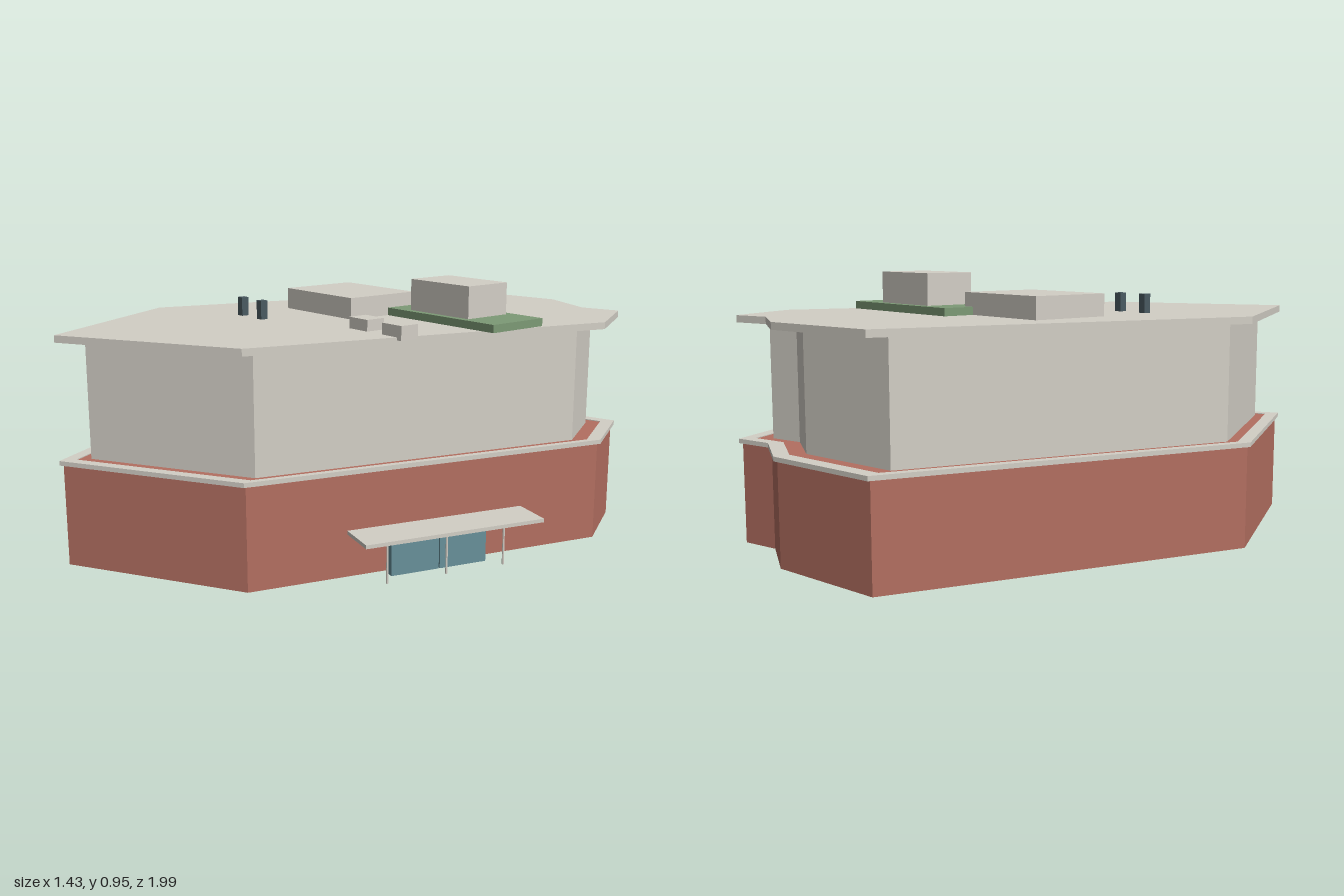
import * as THREE from 'three';

const paint = (color) => new THREE.MeshStandardMaterial({ color, flatShading: true });
const STONE = paint(0xd3cfc6), BRICK = paint(0xb36f61), GREEN = paint(0x7d9a76);
const GLASS = paint(0x68909a), DARK = paint(0x4a5a61);

// Footprint corners as [x, z]
const FOOTPRINT = [
  [-0.35, 0.985], [0.258, 0.645], [0.626, -0.66], [0.472, -0.935],
  [0.33, -0.895], [0.1, -0.99], [-0.348, -0.913], [-0.708, 0.383],
];

const outline = (scale, Type = THREE.Shape) =>
  new Type(FOOTPRINT.map(([x, z]) => new THREE.Vector2(x * scale, -z * scale)));

// Upright prism of the footprint, optionally hollowed to a ring
function storey(name, scale, y0, y1, material, holeScale) {
  const shape = outline(scale);
  if (holeScale) shape.holes.push(outline(holeScale, THREE.Path));
  const geo = new THREE.ExtrudeGeometry(shape, { depth: y1 - y0, bevelEnabled: false });
  geo.rotateX(-Math.PI / 2);
  geo.translate(0, y0, 0);
  const mesh = new THREE.Mesh(geo, material);
  mesh.name = name;
  return mesh;
}

// Box given by its extents on each axis
function block(name, [x0, x1], [y0, y1], [z0, z1], material) {
  const mesh = new THREE.Mesh(new THREE.BoxGeometry(x1 - x0, y1 - y0, z1 - z0), material);
  mesh.position.set((x0 + x1) / 2, (y0 + y1) / 2, (z0 + z1) / 2);
  mesh.name = name;
  return mesh;
}

// Canopy, posts and glazed doors; local x runs along the wall, local z points outward
function createEntrance() {
  const entrance = new THREE.Group();
  entrance.name = 'entrance';
  entrance.add(block('canopy', [-0.335, 0.335], [0.163, 0.176], [-0.077, 0.077], STONE));
  for (const x of [-0.223, 0, 0.223]) {
    const post = new THREE.Mesh(new THREE.CylinderGeometry(0.004, 0.004, 0.163, 8), STONE);
    post.position.set(x, 0.0815, 0);
    post.name = 'canopyPost';
    entrance.add(post);
  }
  for (const side of [-1, 1]) {
    const edges = [side * 0.002, side * 0.183].sort((a, b) => a - b);
    entrance.add(block('glassDoor', edges, [0, 0.148], [-0.077, -0.052], GLASS));
  }
  entrance.position.set(0.545, 0, 0.0225);
  entrance.rotation.y = Math.atan2(0.962, 0.273);
  return entrance;
}

// Penthouses, green roof, small units and vents
function createRoofEquipment() {
  const roof = new THREE.Group();
  roof.name = 'roofEquipment';
  roof.add(
    block('greenRoof', [-0.04, 0.545], [0.81, 0.838], [-0.42, -0.175], GREEN),
    block('tallPenthouse', [0.105, 0.4], [0.81, 0.952], [-0.39, -0.2], STONE),
    block('widePenthouse', [-0.382, 0.005], [0.81, 0.888], [-0.3, 0.002], STONE),
  );
  for (const x of [0.155, 0.328])
    roof.add(block('roofUnit', [x, x + 0.096], [0.8, 0.85], [0.058, 0.132], STONE));
  for (const x of [-0.35, -0.227])
    roof.add(block('vent', [x, x + 0.028], [0.81, 0.878], [0.228, 0.256], DARK));
  return roof;
}

export function createModel() {
  const model = new THREE.Group();
  model.name = 'building';

  const upper = storey('upperStorey', 0.902, 0.37, 0.785, STONE);
  upper.position.set(-0.004, 0, 0.004);

  model.add(
    storey('brickBase', 0.997, 0, 0.373, BRICK),
    storey('baseLedge', 1.01, 0.36, 0.376, STONE, 0.955),
    upper,
    storey('roofSlab', 1.003, 0.785, 0.81, STONE),
    createRoofEquipment(),
    createEntrance(),
  );
  return model;
}
